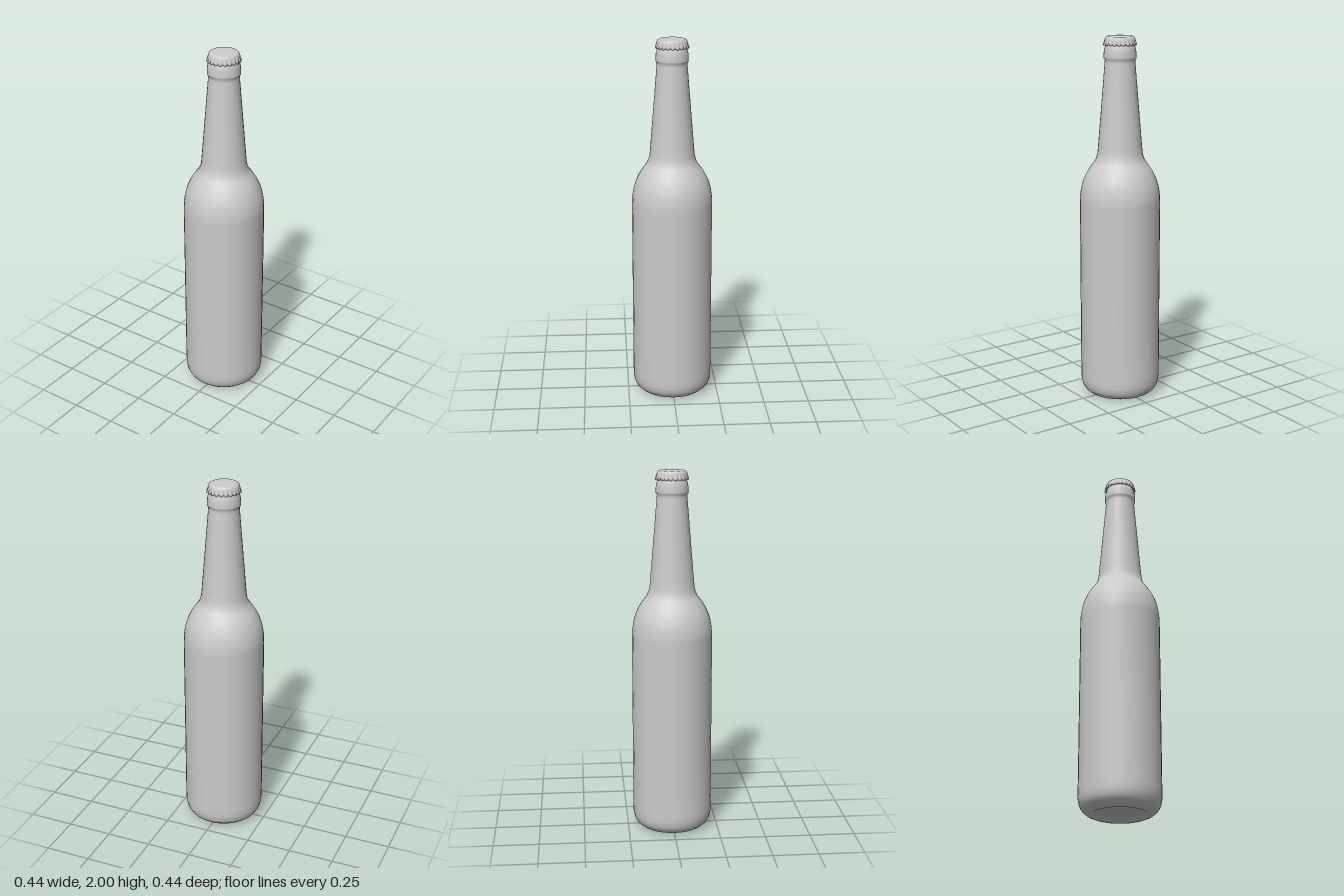
import * as THREE from 'three';
import { mergeVertices } from 'three/addons/utils/BufferGeometryUtils.js';

const TEETH = 21;
const toPoints = (list) => list.map(([r, y]) => new THREE.Vector2(r, y));

// Revolve a profile and weld it so the shading stays smooth across the seam
function revolve(profile, segments, reshape) {
  const geometry = new THREE.LatheGeometry(toPoints(profile), segments);
  geometry.deleteAttribute('uv');
  geometry.deleteAttribute('normal');
  const pos = geometry.attributes.position;
  if (reshape) {
    for (let i = 0; i < pos.count; i++) {
      const v = new THREE.Vector3().fromBufferAttribute(pos, i);
      reshape(v);
      pos.setXYZ(i, v.x, v.y, v.z);
    }
  }
  const welded = mergeVertices(geometry, 1e-5);
  welded.computeVertexNormals();
  return welded;
}

// Bottle profile from the hollow in the base up to the lip
function createBottle() {
  const profile = [
    [0, 0.035], [0.07, 0.032], [0.115, 0.022], [0.138, 0.005], [0.148, 0],
    [0.16, 0.001], [0.18, 0.01], [0.2, 0.027], [0.213, 0.05], [0.219, 0.08],
    [0.22, 0.12], [0.22, 1.1], [0.218, 1.14], [0.211, 1.185], [0.199, 1.225],
    [0.182, 1.262], [0.162, 1.294], [0.142, 1.32], [0.13, 1.342], [0.123, 1.37],
    [0.119, 1.41], [0.1, 1.64], [0.082, 1.86], [0.081, 1.875],
    // Finish ring below the cap
    [0.087, 1.88], [0.088, 1.89], [0.086, 1.925], [0.08, 1.945],
    [0.076, 1.955], [0.074, 1.98], [0.06, 1.99], [0, 1.99],
  ];
  return revolve(profile, 32);
}

// Crown cap: a smooth disc whose skirt flares into crimped teeth
function createCap() {
  const profile = [
    [0.081, 1.954], [0.0875, 1.955], [0.0855, 1.965], [0.083, 1.976],
    [0.081, 1.986], [0.077, 1.995], [0.07, 1.999], [0.05, 2], [0, 2],
  ];
  return revolve(profile, TEETH * 6, (v) => {
    const flare = THREE.MathUtils.clamp((1.988 - v.y) / 0.033, 0, 1);
    const wave = Math.cos(Math.atan2(v.z, v.x) * TEETH);
    const r = Math.hypot(v.x, v.z);
    const scale = r > 0 ? (r + 0.005 * flare * wave) / r : 1;
    v.x *= scale;
    v.z *= scale;
    v.y -= 0.003 * flare * wave;
  });
}

export function createModel() {
  const group = new THREE.Group();
  group.name = 'bottle';
  const material = new THREE.MeshStandardMaterial({ color: 0xcccccc, side: THREE.DoubleSide });
  const parts = { bottleBody: createBottle(), crownCap: createCap() };
  for (const [name, geometry] of Object.entries(parts)) {
    const mesh = new THREE.Mesh(geometry, material);
    mesh.name = name;
    group.add(mesh);
  }
  return group;
}
